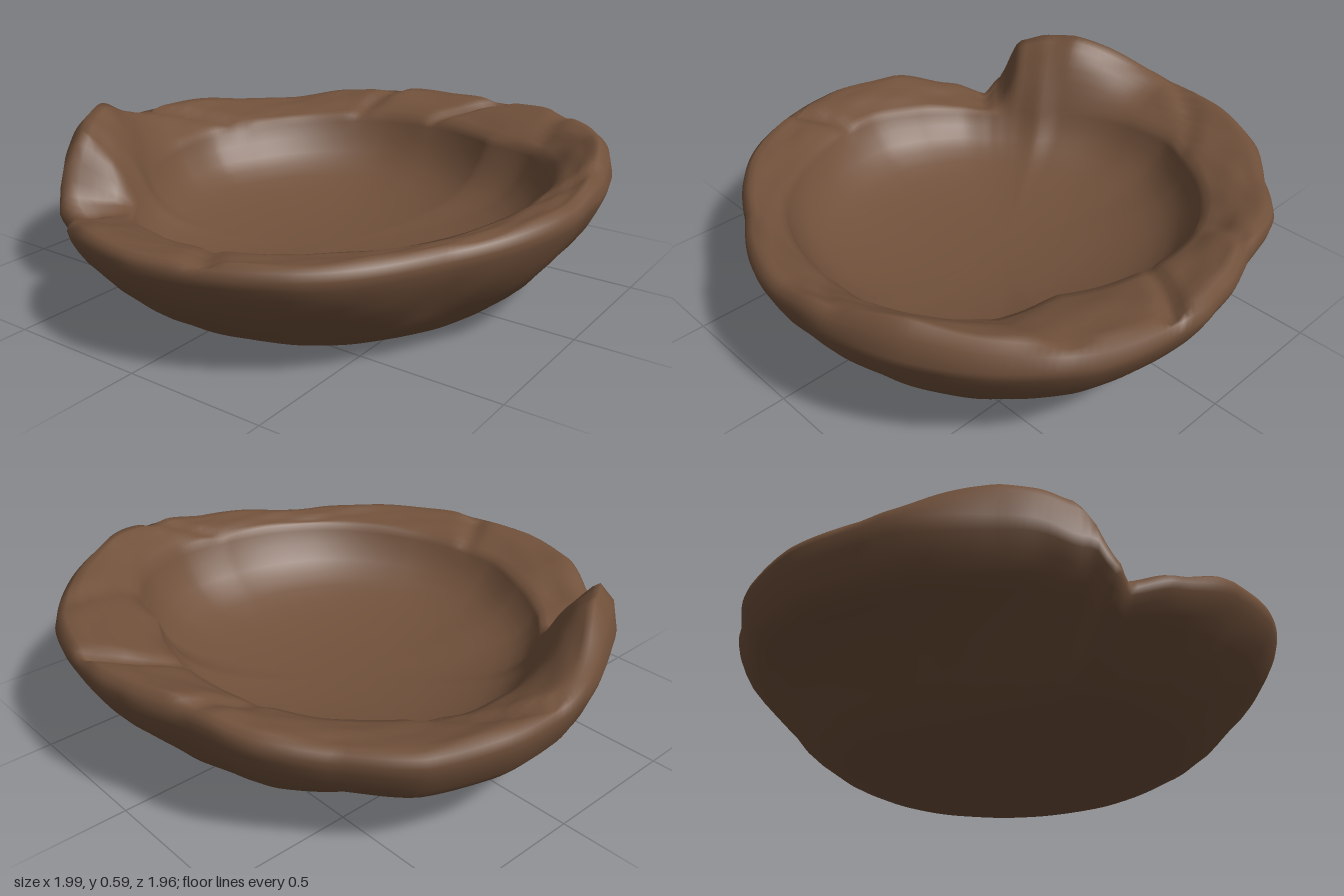
import * as THREE from 'three';

// Stations around the bowl: angle (from +x towards +z), outer radius, lip radius, crest height
const STATIONS = [
  [0, 0.975, 0.71, 0.48], [7, 1.0, 0.71, 0.48], [30, 1.045, 0.7, 0.5], [45, 1.035, 0.79, 0.52],
  [60, 1.02, 0.82, 0.54], [75, 1.0, 0.82, 0.51], [90, 0.975, 0.79, 0.455], [120, 0.915, 0.78, 0.42],
  [150, 0.975, 0.76, 0.41], [180, 1.0, 0.76, 0.4], [195, 0.98, 0.73, 0.39], [210, 0.94, 0.72, 0.33],
  [219, 0.9, 0.7, 0.28], [223, 0.95, 0.69, 0.33], [229, 0.94, 0.68, 0.54], [237, 0.93, 0.66, 0.58],
  [245, 0.93, 0.68, 0.6], [270, 0.98, 0.72, 0.46], [285, 1.0, 0.74, 0.45], [300, 0.995, 0.72, 0.43],
  [315, 0.95, 0.72, 0.43], [330, 0.96, 0.72, 0.46], [345, 0.935, 0.72, 0.49], [360, 0.975, 0.71, 0.48],
];

// Creases pressed into the rim: angle, depth, width, sideways slant from lip to edge (degrees)
const CREASES = [[8, 0.04, 2.5, -10], [40, 0.02, 3, 14], [82, 0.02, 3, 14], [168, 0.03, 2.5, 5],
  [284, 0.03, 3, 22], [340, 0.025, 3, -8]];

const SEGMENTS = 240;
const RIM_STEPS = 7;
const DISH_STEPS = 11;

function station(deg) {
  let i = 0;
  while (i < STATIONS.length - 2 && STATIONS[i + 1][0] <= deg) i++;
  const a = STATIONS[i], b = STATIONS[i + 1];
  const t = THREE.MathUtils.smoothstep(deg, a[0], b[0]) * 0.5 + 0.5 * (deg - a[0]) / (b[0] - a[0]);
  return [1, 2, 3].map((k) => THREE.MathUtils.lerp(a[k], b[k], t));
}

const angleGap = (a, b) => ((a - b + 540) % 360) - 180;
const hump = (deg, centre, width) => Math.exp(-((angleGap(deg, centre) / width) ** 2));

// Gentle hand-shaped unevenness, periodic around the bowl
function bump(theta, v) {
  return Math.sin(theta * 5 + v * 7) * 0.4 + Math.sin(theta * 11 - v * 9 + 1.3) * 0.35
    + Math.sin(theta * 19 + v * 13 + 4) * 0.25;
}

// One radial cross-section as [radius, height] from the underside centre to the floor centre
function section(deg) {
  const theta = THREE.MathUtils.degToRad(deg);
  const [outer, lip, crest] = station(deg);
  const edge = Math.min(crest * 0.9, 0.43) - 0.06 * hump(deg, 229, 6);
  // the lip leans up towards the front and dips beside the broken notch
  const lipHeight = 0.385 + 0.045 * Math.cos(theta - 0.7) - 0.05 * hump(deg, 218, 20);
  // the foot is cut short at the back
  const base = 0.62 - 0.2 * hump(deg, 270, 45) - 0.05 * hump(deg, 0, 30);
  const pts = [[0, 0], [base * 0.55, 0], [base * 0.95, 0.002], [base, 0.01]];

  // outer wall: fraction outwards, height fraction, height fraction on the undercut back ledge
  const back = hump(deg, 275, 45);
  for (const [s, plain, ledge] of [[0.14, 0.06, 0.1], [0.26, 0.12, 0.2], [0.4, 0.22, 0.33], [0.52, 0.32, 0.42],
    [0.64, 0.44, 0.5], [0.76, 0.57, 0.55], [0.86, 0.7, 0.58], [0.93, 0.82, 0.7], [0.98, 0.92, 0.88]]) {
    const b = bump(theta, s) * 0.009 * Math.sin(s * Math.PI);
    pts.push([base + (outer - base) * s + b, edge * THREE.MathUtils.lerp(plain, ledge, back)]);
  }
  pts.push([outer, edge]);

  // crest, then the broad rim falling to the inner lip
  const top = outer - 0.015 - (crest - edge) * 0.35;
  pts.push([THREE.MathUtils.lerp(outer, top, 0.3), edge + (crest - edge) * 0.65]);
  for (let i = 0; i <= RIM_STEPS; i++) {
    const t = i / RIM_STEPS;
    let y = THREE.MathUtils.lerp(crest, lipHeight, t * (0.4 + 0.6 * t));
    for (const [at, depth, width, slant] of CREASES) {
      const d = angleGap(deg, at + slant * (t - 0.5)) / width;
      y -= depth * Math.exp(-d * d) * (1 - 0.6 * t);
    }
    y += bump(theta, t + 2) * 0.008 * (1 - 0.5 * t);
    pts.push([THREE.MathUtils.lerp(top, lip, t), y]);
  }

  // hollow: a continuous dish, steepest just under the lip
  const floor = 0.1;
  for (let i = 1; i <= DISH_STEPS; i++) {
    const r = 1 - (i / DISH_STEPS) ** 1.8;
    pts.push([lip * r, floor + (lipHeight - floor) * (0.55 * r ** 2.6 + 0.45 * r ** 14)]);
  }
  return pts;
}

function bowlGeometry() {
  const positions = [], index = [];
  let rows = 0;
  for (let j = 0; j < SEGMENTS; j++) {
    const deg = (j / SEGMENTS) * 360;
    const a = THREE.MathUtils.degToRad(deg);
    const pts = section(deg);
    rows = pts.length;
    for (const [r, y] of pts) positions.push(r * Math.cos(a), y, r * Math.sin(a));
  }
  for (let j = 0; j < SEGMENTS; j++) {
    const n = (j + 1) % SEGMENTS;
    for (let i = 0; i < rows - 1; i++) {
      const a = j * rows + i, b = n * rows + i;
      if (i > 0) index.push(a, a + 1, b);
      if (i < rows - 2) index.push(b, a + 1, b + 1);
    }
  }
  const geometry = new THREE.BufferGeometry();
  geometry.setAttribute('position', new THREE.Float32BufferAttribute(positions, 3));
  geometry.setIndex(index);
  geometry.computeVertexNormals();
  // the poles keep straight vertical normals
  const normal = geometry.attributes.normal;
  for (let j = 0; j < SEGMENTS; j++) {
    normal.setXYZ(j * rows, 0, -1, 0);
    normal.setXYZ(j * rows + rows - 1, 0, 1, 0);
  }
  return geometry;
}

export function createModel() {
  const group = new THREE.Group();
  group.name = 'clayBowl';
  const clay = new THREE.MeshStandardMaterial({ color: 0x71513b });
  clay.name = 'brown clay';
  const bowl = new THREE.Mesh(bowlGeometry(), clay);
  bowl.name = 'bowl';
  group.add(bowl);
  return group;
}
